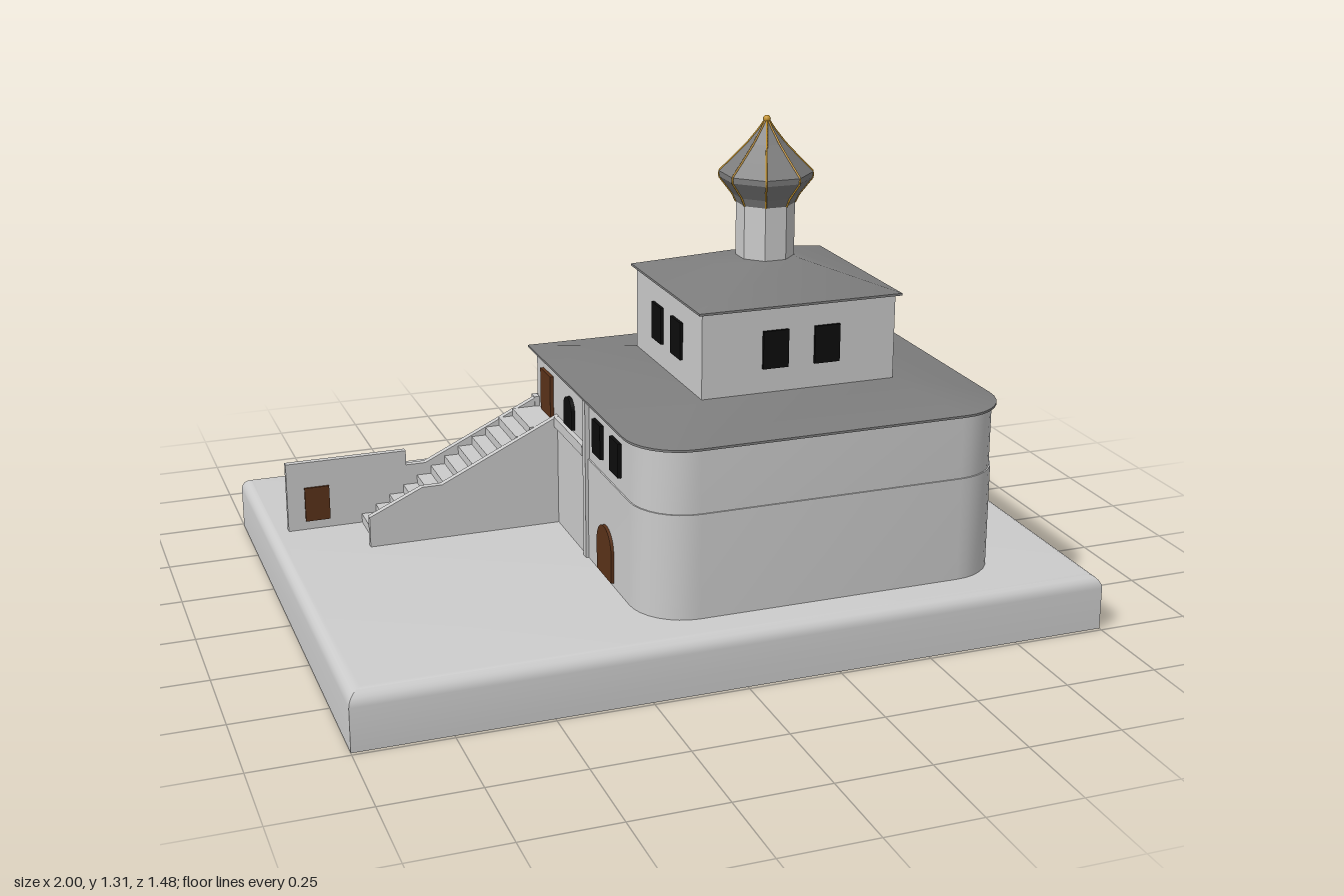
import * as THREE from 'three';
import { toCreasedNormals } from 'three/addons/utils/BufferGeometryUtils.js';

const mat = (color, extra = {}) => new THREE.MeshStandardMaterial({ color, ...extra });

// Rectangle outline (x, z) with rounded front corners, counter-clockwise from above
function outline(x0, x1, z0, z1, r = 0, n = 8) {
  const pts = [];
  for (let i = 0; i <= n; i++) {
    const t = (i / n) * Math.PI / 2;
    pts.push([x0 + r - r * Math.cos(t), z1 - r + r * Math.sin(t)]);
  }
  for (let i = 0; i <= n; i++) {
    const t = (i / n) * Math.PI / 2;
    pts.push([x1 - r + r * Math.sin(t), z1 - r + r * Math.cos(t)]);
  }
  pts.push([x1, z0], [x0, z0]);
  return pts;
}

// Closed solid through stacked outlines: rings = [[y, outline], ...] from bottom to top
function loft(rings) {
  const pos = [];
  const tri = (a, b, c) => {
    const area = b.clone().sub(a).cross(c.clone().sub(a)).length();
    if (area > 1e-9) pos.push(...a.toArray(), ...b.toArray(), ...c.toArray());
  };
  const vs = rings.map(([y, o]) => o.map(([x, z]) => new THREE.Vector3(x, y, z)));
  const n = vs[0].length;
  const mid = (ring) => new THREE.Box3().setFromPoints(ring).getCenter(new THREE.Vector3());
  const low = vs[0], high = vs[vs.length - 1];
  const lowMid = mid(low), highMid = mid(high);
  for (let i = 0; i < n; i++) {
    const j = (i + 1) % n;
    for (let k = 0; k + 1 < vs.length; k++) {
      tri(vs[k][i], vs[k][j], vs[k + 1][j]);
      tri(vs[k][i], vs[k + 1][j], vs[k + 1][i]);
    }
    tri(low[j], low[i], lowMid);
    tri(high[i], high[j], highMid);
  }
  const g = new THREE.BufferGeometry();
  g.setAttribute('position', new THREE.Float32BufferAttribute(pos, 3));
  return toCreasedNormals(g, 0.5);
}

// Upright rectangle or round-headed panel, centred on x
function panelGeometry(w, h, arched) {
  const s = new THREE.Shape();
  const r = w / 2, rise = Math.min(r, h * 0.4);
  s.moveTo(-r, 0);
  s.lineTo(r, 0);
  if (arched) {
    s.lineTo(r, h - rise);
    s.absellipse(0, h - rise, r, rise, 0, Math.PI, false, 0);
  } else {
    s.lineTo(r, h);
    s.lineTo(-r, h);
  }
  s.closePath();
  return new THREE.ExtrudeGeometry(s, { depth: 0.016, bevelEnabled: false, curveSegments: 10 });
}

export function createModel() {
  const model = new THREE.Group();
  const wall = mat(0xcccccc);
  const roof = mat(0x7e7e7e);
  const facetRoof = mat(0x7e7e7e, { flatShading: true });
  const glass = mat(0x0c0c0c);
  const wood = mat(0x5a3219);
  const gold = mat(0xc8962e);

  const add = (name, geo, material, x = 0, y = 0, z = 0) => {
    const m = new THREE.Mesh(geo, material);
    m.name = name;
    m.position.set(x, y, z);
    model.add(m);
    return m;
  };
  const box = (name, x0, x1, y0, y1, z0, z1, material = wall) =>
    add(name, new THREE.BoxGeometry(x1 - x0, y1 - y0, z1 - z0), material,
      (x0 + x1) / 2, (y0 + y1) / 2, (z0 + z1) / 2);

  // side: direction the panel faces; at: wall plane; u: position along the wall
  const turn = { front: 0, left: Math.PI / 2, back: Math.PI, right: -Math.PI / 2 };
  const panel = (name, side, at, u, y0, y1, w, arched, material) => {
    const alongX = side === 'front' || side === 'back';
    const inset = side === 'front' || side === 'left' ? -0.008 : 0.008;
    const m = add(name, panelGeometry(w, y1 - y0, arched), material,
      alongX ? u : at + inset, y0, alongX ? at + inset : u);
    m.rotation.y = turn[side];
  };

  // Plinth with rounded upper edge
  const plinth = [[0, outline(-1, 1, -0.74, 0.74, 0, 1)]];
  for (let i = 0; i <= 5; i++) {
    const t = (i / 5) * Math.PI / 2, d = 0.035 * (1 - Math.cos(t));
    plinth.push([0.115 + 0.035 * Math.sin(t), outline(-1 + d, 1 - d, -0.74 + d, 0.74 - d, 0, 1)]);
  }
  add('plinth', loft(plinth), wall);

  // Main storey, slightly set back above the string course
  const lower = outline(-0.225, 0.77, -0.3, 0.63, 0.14);
  const upper = outline(-0.221, 0.766, -0.296, 0.626, 0.136);
  add('lowerWalls', loft([[0.15, lower], [0.43, lower]]), wall);
  add('upperWalls', loft([[0.43, upper], [0.6, upper]]), wall);

  // Main roof, upper storey and its roof
  const eaves = outline(-0.24, 0.78, -0.32, 0.632, 0.145);
  add('mainRoof', loft([[0.596, eaves], [0.602, eaves],
    [0.645, outline(0, 0.535, -0.08, 0.407)]]), roof);
  box('upperStorey', 0, 0.535, 0.62, 0.875, -0.08, 0.407);
  const topEaves = outline(-0.012, 0.548, -0.093, 0.42, 0, 1);
  add('upperRoof', loft([[0.87, topEaves], [0.876, topEaves],
    [0.942, outline(0.2, 0.34, 0.095, 0.235, 0, 1)]]), roof);

  // Octagonal drum and onion dome
  const lathe = (pts) => new THREE.LatheGeometry(
    pts.map(([r, y]) => new THREE.Vector2(r, y)), 8, Math.PI / 8);
  const cx = 0.27, cz = 0.164;
  add('drum', lathe([[0.077, 0.92], [0.077, 1.09]]), mat(0xcccccc, { flatShading: true }), cx, 0, cz);
  const dome = [[0, 1.083], [0.077, 1.083], [0.087, 1.105], [0.122, 1.15], [0.123, 1.165],
    [0.088, 1.2], [0.048, 1.242], [0.022, 1.275], [0.004, 1.302]];
  add('dome', lathe(dome), facetRoof, cx, 0, cz);
  const rib = new THREE.CurvePath();
  const ribPts = dome.slice(1).map(([r, y]) => new THREE.Vector3(0, y, r));
  for (let i = 0; i + 1 < ribPts.length; i++) rib.add(new THREE.LineCurve3(ribPts[i], ribPts[i + 1]));
  const ribGeo = new THREE.TubeGeometry(rib, 28, 0.0028, 5);
  for (let i = 0; i < 8; i++) {
    add('domeRib', ribGeo, gold, cx, 0, cz).rotation.y = (i + 0.5) * Math.PI / 4;
  }
  add('finial', new THREE.SphereGeometry(0.01, 12, 8), gold, cx, 1.303, cz);

  // Upper storey windows, two on every side
  for (const x of [0.2, 0.343]) {
    panel('upperWindow', 'front', 0.407, x, 0.71, 0.81, 0.07, false, glass);
    panel('upperWindow', 'back', -0.08, x, 0.71, 0.81, 0.07, false, glass);
  }
  for (const z of [0.235, 0.092]) {
    panel('upperWindow', 'left', 0.535, z, 0.71, 0.81, 0.072, false, glass);
    panel('upperWindow', 'right', 0, z, 0.71, 0.81, 0.072, false, glass);
  }

  // Left side: windows, gallery arches and twin doors
  for (const z of [0.407, 0.205]) panel('window', 'left', 0.768, z, 0.468, 0.56, 0.066, false, glass);
  for (const z of [0.034, -0.1, -0.236]) panel('galleryArch', 'left', 0.768, z, 0.468, 0.552, 0.07, true, glass);
  for (const z of [0.183, 0.012]) panel('archedDoor', 'left', 0.77, z, 0.16, 0.298, 0.115, true, wood);
  box('pilaster', 0.75, 0.778, 0.15, 0.6, 0.082, 0.104);

  // Right side: windows, arch, stair door and lower door
  for (const z of [0.39, 0.25]) panel('window', 'right', -0.223, z, 0.468, 0.56, 0.066, false, glass);
  panel('galleryArch', 'right', -0.223, 0.01, 0.468, 0.552, 0.07, true, glass);
  panel('stairDoor', 'right', -0.223, -0.19, 0.44, 0.56, 0.09, false, wood);
  panel('archedDoor', 'right', -0.225, 0.315, 0.16, 0.298, 0.115, true, wood);
  box('pilaster', -0.233, -0.2, 0.15, 0.6, 0.145, 0.167);

  // Back: gallery arches, windows and door
  for (let i = 0; i < 7; i++) panel('galleryArch', 'back', -0.298, 0.672 - i * 0.135, 0.468, 0.552, 0.07, true, glass);
  for (const x of [0.625, 0.47, 0.16, -0.005]) panel('lowerWindow', 'back', -0.3, x, 0.21, 0.295, 0.065, false, glass);
  panel('backDoor', 'back', -0.3, 0.305, 0.16, 0.29, 0.09, false, wood);

  // Gallery ledge around the back
  box('galleryLedge', -0.235, 0.78, 0.432, 0.46, -0.31, -0.28);
  box('galleryLedge', 0.75, 0.78, 0.432, 0.46, -0.31, 0.082);
  box('galleryLedge', -0.235, -0.2, 0.432, 0.46, -0.1, 0.145);

  // Outer stair: side walls with sloped tops
  const sideWall = (name, pts, z0) => {
    const s = new THREE.Shape(pts.map(([x, y]) => new THREE.Vector2(x, y)));
    add(name, new THREE.ExtrudeGeometry(s, { depth: 0.018, bevelEnabled: false }), wall, 0, 0, z0);
  };
  const slope = [[-0.222, 0.145], [-0.222, 0.462], [-0.555, 0.303], [-0.61, 0.303]];
  sideWall('stairWallFront', [...slope, [-0.757, 0.235], [-0.757, 0.145]], -0.117);
  sideWall('stairWallBack', [...slope, [-0.61, 0.345], [-0.945, 0.345], [-0.945, 0.145]], -0.3);

  // Steps and top landing
  const steps = 11;
  for (let i = 0; i < steps; i++) {
    const x = -0.74 + i * 0.04;
    box('step', x, x + 0.04, 0.145, 0.175 + i * 0.0235, -0.284, -0.115);
  }
  box('landing', -0.74 + steps * 0.04, -0.22, 0.145, 0.432, -0.284, -0.115);

  // Small door in the end wall, shown on both faces
  panel('gateDoor', 'front', -0.284, -0.863, 0.175, 0.272, 0.068, false, wood);
  panel('gateDoor', 'back', -0.298, -0.863, 0.175, 0.272, 0.068, false, wood);

  return model;
}
